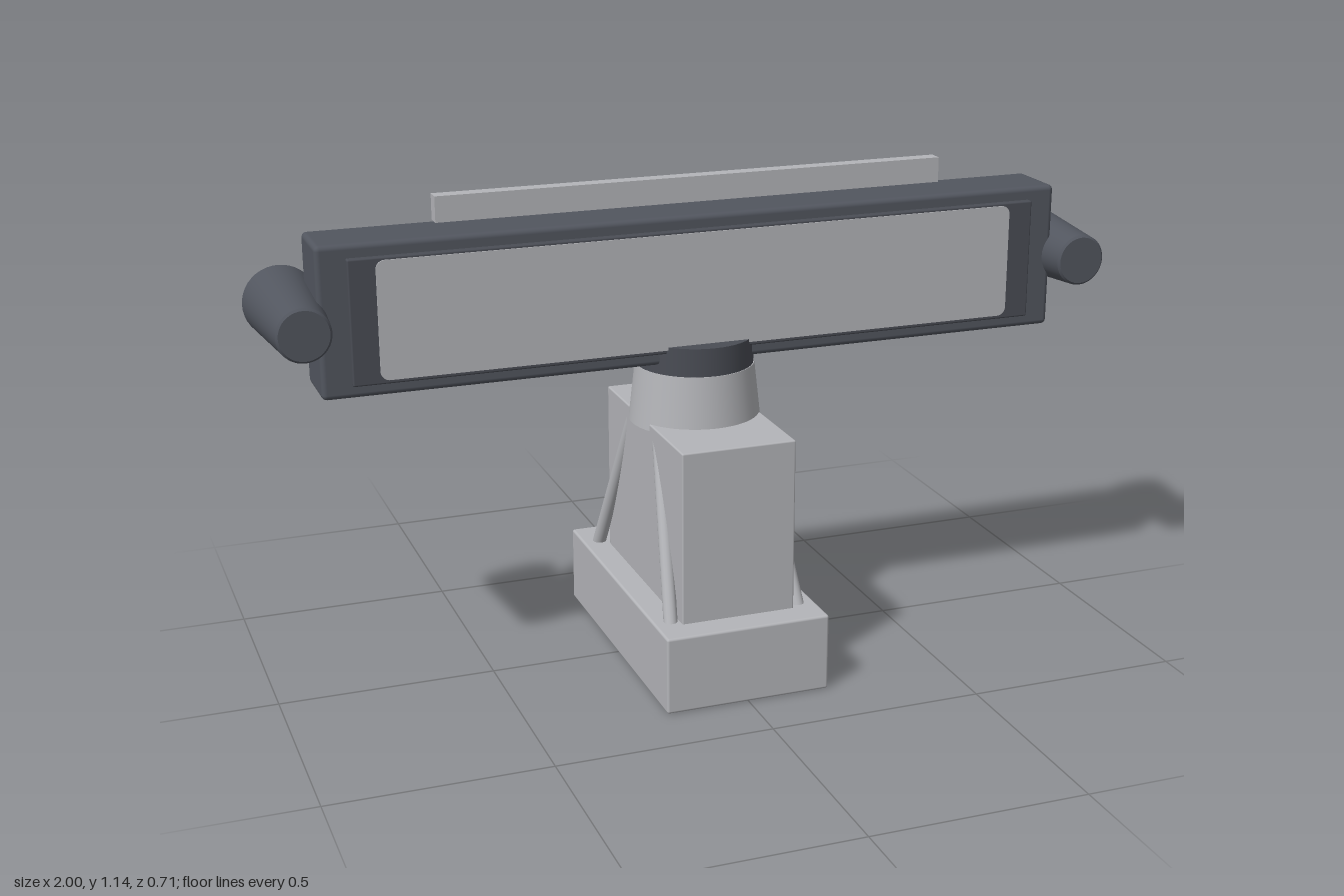
import * as THREE from 'three';
import { RoundedBoxGeometry } from 'three/addons/geometries/RoundedBoxGeometry.js';

function material(name, color) {
  const m = new THREE.MeshStandardMaterial({ color });
  m.name = name;
  return m;
}

export function createModel() {
  const group = new THREE.Group();
  const lightGrey = material('light grey', 0xb4b5b9);
  const darkGrey = material('dark slate', 0x52565f);
  const trimGrey = material('trim slate', 0x4a4d55);

  const add = (name, geometry, mat, x = 0, y = 0, z = 0) => {
    const mesh = new THREE.Mesh(geometry, mat);
    mesh.name = name;
    mesh.position.set(x, y, z);
    group.add(mesh);
    return mesh;
  };
  // softly bevelled box given by its limits
  const block = (name, mat, [x0, x1], [y0, y1], [z0, z1], bevel) =>
    add(name, new RoundedBoxGeometry(x1 - x0, y1 - y0, z1 - z0, 2, bevel), mat,
      (x0 + x1) / 2, (y0 + y1) / 2, (z0 + z1) / 2);

  // pedestal
  block('base', lightGrey, [-0.195, 0.195], [0, 0.182], [-0.355, 0.355], 0.006);
  block('column', lightGrey, [-0.135, 0.135], [0.17, 0.587], [-0.236, 0.288], 0.004);

  // swivel neck
  add('collar', new THREE.CylinderGeometry(0.138, 0.153, 0.135, 48), lightGrey, 0, 0.6385, 0);
  add('neckCap', new THREE.CylinderGeometry(0.136, 0.136, 0.07, 48), trimGrey, 0, 0.737, 0);

  // four slanted struts bracing the column
  for (const sx of [-1, 1]) {
    for (const sz of [-1, 1]) {
      const foot = new THREE.Vector3(sx * 0.155, 0.17, sz * 0.266);
      const head = new THREE.Vector3(sx * 0.119, 0.555, sz * 0.09);
      const dir = head.clone().sub(foot);
      const mid = foot.clone().add(head).multiplyScalar(0.5);
      const strut = add('strut', new THREE.CapsuleGeometry(0.016, dir.length(), 6, 16), lightGrey, mid.x, mid.y, mid.z);
      strut.quaternion.setFromUnitVectors(new THREE.Vector3(0, 1, 0), dir.normalize());
    }
  }

  // long housing with a raised trim frame
  block('housing', darkGrey, [-0.875, 0.875], [0.726, 1.066], [-0.077, 0.077], 0.012);
  block('panelTrim', trimGrey, [-0.81, 0.81], [0.756, 1.036], [-0.092, 0.092], 0.004);

  // thin light panel with rounded corners on both faces
  const w = 0.75, y0 = 0.765, y1 = 1.03, r = 0.02;
  const outline = new THREE.Shape();
  outline.absarc(w - r, y1 - r, r, 0, Math.PI / 2);
  outline.absarc(-w + r, y1 - r, r, Math.PI / 2, Math.PI);
  outline.absarc(-w + r, y0 + r, r, Math.PI, Math.PI * 1.5);
  outline.absarc(w - r, y0 + r, r, Math.PI * 1.5, Math.PI * 2);
  const panel = new THREE.ExtrudeGeometry(outline, { depth: 0.005, bevelEnabled: false, curveSegments: 6 });
  add('frontPanel', panel, lightGrey, 0, 0, 0.09);
  add('backPanel', panel, lightGrey, 0, 0, -0.095);

  // rail above the housing
  add('topRail', new THREE.BoxGeometry(1.2, 0.058, 0.034), lightGrey, 0, 1.111, 0);

  // tapered side pods, wide end at the back, with softened rims
  const rim = 0.005;
  const profile = [
    [0, -0.148], [0.083 - rim, -0.148], [0.083, -0.148 + rim],
    [0.06, 0.148 - rim], [0.06 - rim, 0.148], [0, 0.148],
  ];
  for (const sx of [-1, 1]) {
    const pod = new THREE.Group();
    pod.name = sx > 0 ? 'leftPod' : 'rightPod';
    pod.position.set(sx * 0.917, 0.896, 0);
    pod.rotation.x = Math.PI / 2;
    // separate lathe per profile segment keeps the edges crisp
    for (let i = 0; i < profile.length - 1; i++) {
      const pts = [profile[i], profile[i + 1]].map(([a, b]) => new THREE.Vector2(a, b));
      const part = new THREE.Mesh(new THREE.LatheGeometry(pts, 40), darkGrey);
      part.name = 'podSurface';
      pod.add(part);
    }
    group.add(pod);
  }

  return group;
}
